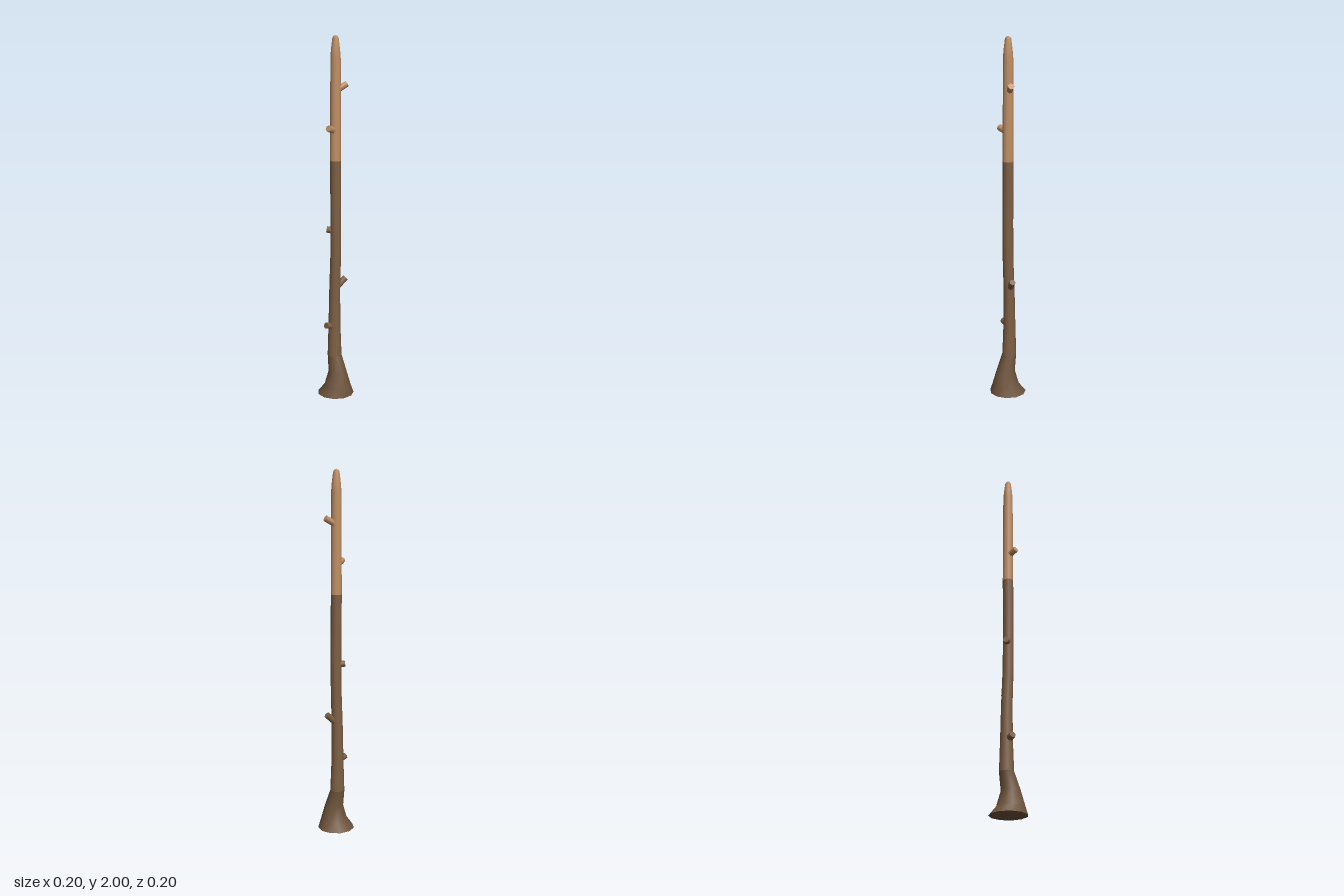
import * as THREE from 'three';

const SIDES = 11;

// Skin round cross-sections given as [y, zOffset, radius], bottom to top
function loft(rings) {
  const pos = [], idx = [];
  rings.forEach(([y, z, r], i) => {
    for (let j = 0; j < SIDES; j++) {
      const t = (j / SIDES) * Math.PI * 2;
      pos.push(r * Math.sin(t), y, z - r * Math.cos(t));
      if (i === rings.length - 1) continue;
      const a = i * SIDES + j, b = i * SIDES + ((j + 1) % SIDES);
      idx.push(a, a + SIDES, b, b, a + SIDES, b + SIDES);
    }
  });
  const g = new THREE.BufferGeometry();
  g.setAttribute('position', new THREE.Float32BufferAttribute(pos, 3));
  g.setIndex(idx);
  g.computeVertexNormals();
  return g;
}

export function createModel() {
  const group = new THREE.Group();
  const mat = (color) => new THREE.MeshStandardMaterial({ color });
  const rootBark = mat(0x6e543c), bark = mat(0x7e6045), bareWood = mat(0xc09066);

  const add = (name, geometry, material) => {
    const mesh = new THREE.Mesh(geometry, material);
    mesh.name = name;
    group.add(mesh);
    return mesh;
  };

  // Flared foot, closed underneath; the doubled ring keeps the rim sharp
  add('rootFlare', loft([
    [0, 0, 0], [0, 0, 0.102], [0, 0, 0.102],
    [0.05, 0.015, 0.075], [0.13, 0.015, 0.052], [0.225, -0.01, 0.04],
  ]), rootBark);

  // Slightly crooked trunk
  add('lowerTrunk', loft([
    [0.225, -0.01, 0.04], [0.4, -0.011, 0.034], [0.6, -0.009, 0.031],
    [0.8, -0.001, 0.03], [1.0, 0, 0.03], [1.335, -0.002, 0.03],
  ]), bark);

  // Bare upper trunk with a blunt tip
  add('upperTrunk', loft([
    [1.335, -0.002, 0.03], [1.6, -0.002, 0.029], [1.88, -0.002, 0.028],
    [1.93, -0.002, 0.024], [1.985, -0.002, 0.017], [1.996, -0.002, 0.011], [2, -0.002, 0],
  ]), bareWood);

  // Cut branch stubs: start, end, radius, material
  const up = new THREE.Vector3(0, 1, 0);
  [
    [[0.005, 1.71, -0.005], [0.06, 1.745, 0.022], 0.018, bareWood],
    [[0, 1.495, -0.003], [-0.062, 1.515, 0.011], 0.019, bareWood],
    [[0, 0.945, 0], [-0.034, 0.953, -0.036], 0.019, bark],
    [[0.005, 0.615, -0.008], [0.062, 0.67, 0.012], 0.018, bark],
    [[0, 0.395, -0.01], [-0.062, 0.409, -0.012], 0.019, bark],
  ].forEach(([from, to, r, material], i) => {
    const a = new THREE.Vector3(...from), b = new THREE.Vector3(...to);
    const dir = b.clone().sub(a);
    const stub = add(`branchStub${i + 1}`, new THREE.CylinderGeometry(r * 0.95, r, dir.length(), 7), material);
    stub.position.copy(a).add(b).multiplyScalar(0.5);
    stub.quaternion.setFromUnitVectors(up, dir.normalize());
  });

  return group;
}
